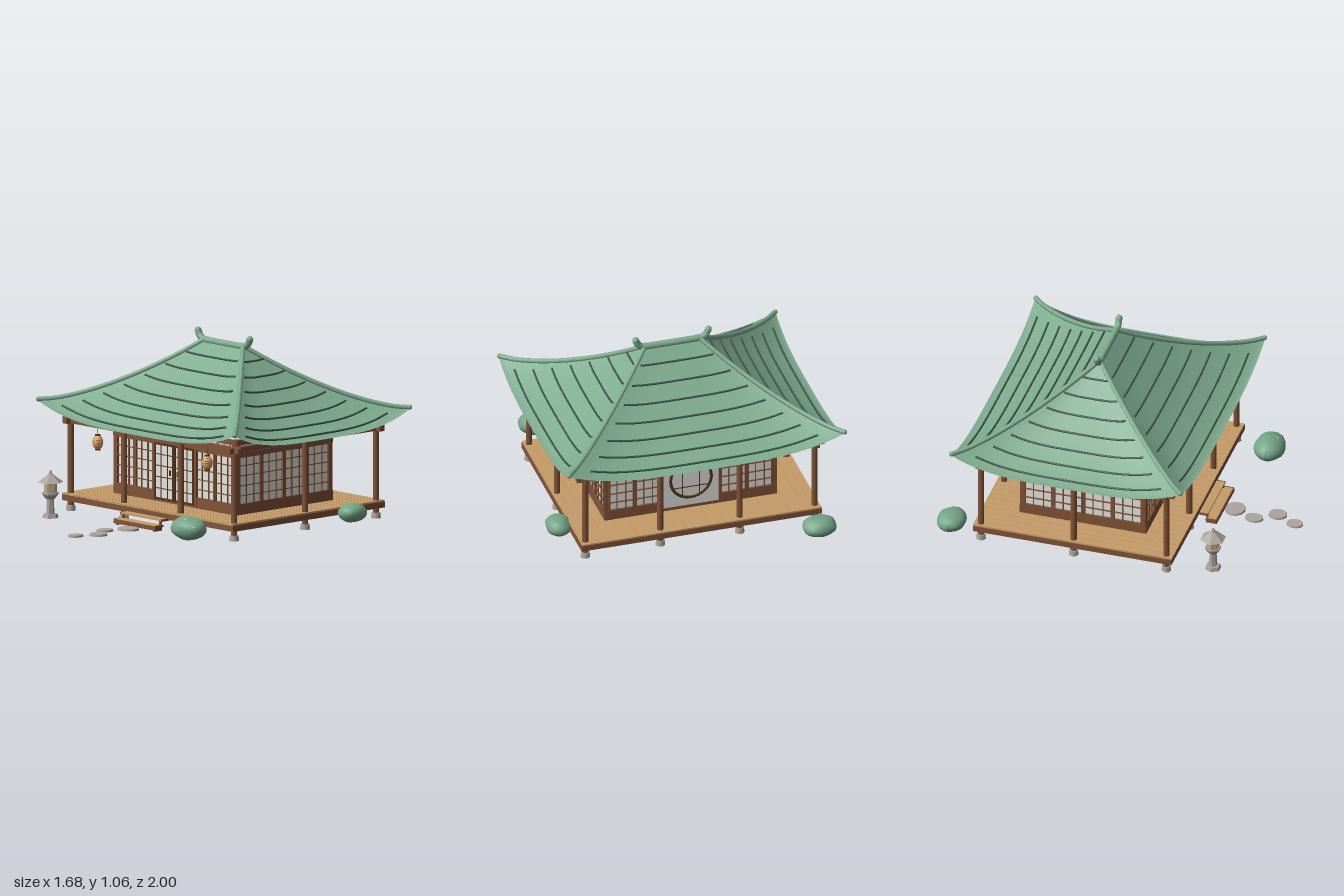
import * as THREE from 'three';
import { ParametricGeometry } from 'three/addons/geometries/ParametricGeometry.js';

const mat = (name, color, extra = {}) => Object.assign(new THREE.MeshStandardMaterial({ color, ...extra }), { name });
const M = {
  roof: mat('roof green', 0x7fac90, { side: THREE.DoubleSide }),
  rib: mat('dark green', 0x3d5849),
  wood: mat('brown wood', 0x815338),
  dark: mat('dark wood', 0x54351f),
  under: mat('underfloor brown', 0x694329),
  deck: mat('deck tan', 0xc69c68),
  paper: mat('white paper', 0xe3e4df),
  stone: mat('grey stone', 0xaca59d),
  bush: mat('bush green', 0x74a588),
  glow: mat('lantern amber', 0xdfa868),
};
const UNIT = new THREE.BoxGeometry(1, 1, 1);
const CZ = -0.18; // middle of the house

function add(parent, name, geo, m, x = 0, y = 0, z = 0) {
  const mesh = new THREE.Mesh(geo, m);
  mesh.name = name;
  mesh.position.set(x, y, z);
  parent.add(mesh);
  return mesh;
}
function box(parent, name, m, w, h, d, x, y, z) {
  const b = add(parent, name, UNIT, m, x, y, z);
  b.scale.set(w, h, d);
  return b;
}
function group(parent, name, x = 0, y = 0, z = 0, ry = 0) {
  const g = new THREE.Group();
  g.name = name;
  g.position.set(x, y, z);
  g.rotation.y = ry;
  parent.add(g);
  return g;
}
const cyl = (rt, rb, h, n = 12) => new THREE.CylinderGeometry(rt, rb, h, n);
const tube = (pts, r, n = 24) => new THREE.TubeGeometry(new THREE.CatmullRomCurve3(pts), n, r, 8);

// Sagging roof height: t runs ridge to eave, s runs hip to hip
const roofY = (t, s) => 0.54 + 0.455 * Math.pow(1 - t, 1.38) + 0.1 * Math.pow(t, 1.25) * Math.abs(s) ** 3.5;

function roofSide(parent, name, half, grow, off, run, ry) {
  const g = group(parent, name, 0, 0, 0, ry);
  const at = (t, s, lift = 0) => new THREE.Vector3(s * (half + grow * t), roofY(t, s) + lift, off + run * t);
  add(g, 'roofSlope', new ParametricGeometry((u, v, p) => p.copy(at(v, 1 - 2 * u)), 28, 24), M.roof);
  for (let k = 1; k <= 7; k++) {
    const pts = [];
    for (let i = 0; i <= 12; i++) pts.push(at(k * 0.131, 0.88 * (i / 6 - 1), 0.007));
    add(g, 'roofRib', tube(pts, 0.006), M.rib);
  }
}

function buildRoof(root) {
  const g = group(root, 'roof', 0, 0, CZ);
  for (const k of [0, 1]) {
    roofSide(g, 'longRoofSide', 0.16, 0.67, 0, 0.69, k * Math.PI);
    roofSide(g, 'shortRoofSide', 0, 0.69, 0.16, 0.67, Math.PI / 2 + k * Math.PI);
  }
  for (const sx of [-1, 1]) {
    for (const sz of [-1, 1]) {
      const pts = [];
      for (let i = 0; i <= 10; i++) {
        const t = i / 10;
        pts.push(new THREE.Vector3(sx * (0.16 + 0.67 * t), roofY(t, 1) + 0.004, sz * 0.69 * t));
      }
      add(g, 'hipRidge', tube(pts, 0.014), M.roof);
      add(g, 'hipEnd', new THREE.SphereGeometry(0.015, 10, 8), M.roof, sx * 0.825, 0.645, sz * 0.685);
    }
    const horn = [[0.14, 0.995], [0.18, 0.998], [0.206, 1.018], [0.218, 1.043]].map(([x, y]) => new THREE.Vector3(sx * x, y, 0));
    add(g, 'ridgeHorn', tube(horn, 0.02, 12), M.roof);
    add(g, 'hornTip', new THREE.SphereGeometry(0.02, 10, 8), M.roof, sx * 0.218, 1.043, 0);
  }
  add(g, 'ridge', cyl(0.02, 0.02, 0.33), M.roof, 0, 0.993, 0).rotation.z = Math.PI / 2;
}

// Framed sliding screen with thin lattice bars
function screen(parent, name, m, x, y0, y1, w, cols, rows, z = 0.006, f = 0.011) {
  const g = group(parent, name, x, 0, z);
  const h = y1 - y0, ym = (y0 + y1) / 2;
  for (const s of [-1, 1]) {
    box(g, 'stile', m, f, h, 0.012, s * (w - f) / 2, ym, 0);
    box(g, 'rail', m, w, f, 0.012, 0, ym + s * (h - f) / 2, 0);
  }
  for (let i = 1; i < cols; i++) box(g, 'latticeBar', m, 0.005, h, 0.008, (i / cols - 0.5) * w, ym, 0);
  for (let i = 1; i < rows; i++) box(g, 'latticeBar', m, w, 0.005, 0.008, 0, y0 + (i / rows) * h, 0);
}

// Timber frame shared by every wall, facing +z
function wall(root, name, w, x, z, ry) {
  const g = group(root, name, x, 0, z, ry);
  box(g, 'sill', M.wood, w, 0.058, 0.018, 0, 0.131, 0.002);
  box(g, 'lintel', M.wood, w, 0.024, 0.022, 0, 0.452, 0.002);
  box(g, 'topPlate', M.wood, w, 0.03, 0.022, 0, 0.525, 0.002);
  for (const s of [-1, 1]) box(g, 'cornerPost', M.wood, 0.032, 0.44, 0.032, s * (w / 2 - 0.014), 0.32, -0.008);
  screen(g, 'transom', M.wood, 0, 0.462, 0.513, w, Math.round(w / 0.054), 1, 0.002, 0.005);
  return g;
}

function buildHouse(root) {
  const g = group(root, 'house');
  box(g, 'paperWalls', M.paper, 1.01, 0.44, 0.735, 0, 0.32, -0.1725);
  const front = wall(g, 'frontWall', 1.03, 0, 0.196, 0);
  const back = wall(g, 'backWall', 1.03, 0, -0.541, Math.PI);
  for (const w of [front, back]) for (const s of [-1, 1]) {
    for (const x of [0.255, 0.415]) screen(w, 'wallScreen', M.wood, s * x, 0.155, 0.445, 0.159, 3, 5);
    box(w, 'jamb', M.wood, 0.02, 0.34, 0.022, s * 0.176, 0.275, 0.004);
  }
  // Double door
  box(front, 'doorPaper', M.paper, 0.33, 0.325, 0.012, 0, 0.28, 0.007);
  for (const s of [-1, 1]) {
    screen(front, 'door', M.dark, s * 0.083, 0.115, 0.445, 0.164, 3, 5, 0.012, 0.012);
    box(front, 'doorHandle', M.dark, 0.007, 0.03, 0.01, s * 0.032, 0.28, 0.018);
  }
  // Round window
  box(back, 'windowPaper', M.paper, 0.33, 0.32, 0.012, 0, 0.283, 0.007);
  add(back, 'roundWindowFrame', new THREE.TorusGeometry(0.122, 0.009, 8, 36), M.dark, 0, 0.295, 0.013).scale.z = 0.6;
  for (const d of [-0.05, 0.05]) {
    const c = 2 * Math.sqrt(0.122 ** 2 - d * d);
    box(back, 'windowBar', M.dark, 0.005, c, 0.005, d, 0.295, 0.014);
    box(back, 'windowBar', M.dark, c, 0.005, 0.005, 0, 0.295 + d, 0.014);
  }
  for (const s of [-1, 1]) {
    const side = wall(g, 'sideWall', 0.75, s * 0.506, -0.1725, s * Math.PI / 2);
    for (let i = 0; i < 4; i++) screen(side, 'wallScreen', M.wood, (i - 1.5) * 0.178, 0.155, 0.445, 0.177, 3, 5);
  }
}

function buildPorch(root) {
  const g = group(root, 'porch', 0, 0, -0.175);
  box(g, 'underfloor', M.under, 1.42, 0.012, 1.17, 0, 0.088, 0);
  for (let i = 0; i < 30; i++) box(g, 'plank', M.deck, 0.0458, 0.01, 1.19, (i - 14.5) * 0.0478, 0.098, 0);
  for (const s of [-1, 1]) {
    box(g, 'edgeBeam', M.wood, 1.44, 0.034, 0.03, 0, 0.077, s * 0.58);
    box(g, 'edgeBeam', M.wood, 0.03, 0.034, 1.19, s * 0.705, 0.077, 0);
    box(g, 'joist', M.wood, 0.026, 0.026, 1.17, s * 0.238, 0.072, 0);
    box(g, 'eaveBeam', M.wood, 1.48, 0.032, 0.034, 0, 0.526, s * 0.555);
    box(g, 'eaveBeam', M.wood, 0.034, 0.032, 1.21, s * 0.687, 0.526, 0);
    box(g, 'sideTie', M.wood, 0.19, 0.028, 0.024, s * 0.595, 0.525, 0);
    for (const t of [-1, 1]) box(g, 'tieBeam', M.wood, 0.024, 0.028, 0.19, s * 0.238, 0.525, t * 0.465);
    const spots = [[0.687, -0.555], [0.687, 0], [0.687, 0.555], [0.238, -0.555], [0.238, 0.555]];
    for (const [x, z] of spots) {
      add(g, 'post', cyl(0.018, 0.018, 0.49), M.wood, s * x, 0.273, z);
      add(g, 'footing', cyl(0.025, 0.029, 0.032, 8), M.stone, s * x, 0.016, z);
    }
    // Hanging paper lantern
    const l = group(g, 'hangingLantern', s * 0.46, 0.425, 0.555);
    add(l, 'lanternBody', new THREE.SphereGeometry(1, 16, 12), M.glow).scale.set(0.031, 0.043, 0.031);
    for (let i = -2; i <= 2; i++) {
      const r = 0.031 * Math.sqrt(1 - (i * 0.014 / 0.043) ** 2);
      add(l, 'lanternHoop', new THREE.TorusGeometry(r, 0.001, 5, 20), M.wood, 0, i * 0.014, 0).rotation.x = Math.PI / 2;
    }
    for (const t of [-1, 1]) add(l, 'lanternCap', cyl(0.016, 0.016, 0.008), M.dark, 0, t * 0.042, 0);
    add(l, 'cord', cyl(0.002, 0.002, 0.05, 6), M.dark, 0, 0.068, 0);
  }
}

function buildSteps(root) {
  const g = group(root, 'steps');
  for (const [y, z] of [[0.062, 0.44], [0.03, 0.488]]) {
    box(g, 'tread', M.deck, 0.335, 0.01, 0.06, 0, y, z);
    for (const s of [-1, 1]) box(g, 'treadEnd', M.wood, 0.007, 0.013, 0.062, s * 0.171, y - 0.001, z);
  }
  box(g, 'stepFront', M.wood, 0.348, 0.024, 0.008, 0, 0.021, 0.52);
  for (const s of [-1, 1]) {
    box(g, 'stringer', M.wood, 0.012, 0.057, 0.012, s * 0.155, 0.0285, 0.462);
    box(g, 'stringer', M.wood, 0.012, 0.025, 0.05, s * 0.155, 0.0125, 0.49);
  }
}

function buildGarden(root) {
  const g = group(root, 'garden');
  const stones = [[0.01, 0.58, 0.066, 0.06], [-0.045, 0.71, 0.043, 0.055], [0.028, 0.83, 0.05, 0.055], [-0.033, 0.95, 0.04, 0.05]];
  for (const [x, z, rx, rz] of stones) add(g, 'steppingStone', cyl(0.96, 1, 0.012, 11), M.stone, x, 0.006, z).scale.set(rx, 1, rz);

  // Rounded bushes with a gentle lumpy surface
  const bushes = [[0.562, 0.085, 0.62, 0.117, 0.068, 0.09], [0.77, 0.072, -0.47, 0.073, 0.055, 0.09], [-0.66, 0.073, -0.915, 0.1, 0.057, 0.085]];
  bushes.forEach(([x, y, z, rx, ry, rz], k) => {
    const geo = new THREE.SphereGeometry(1, 22, 16), p = geo.attributes.position, v = new THREE.Vector3();
    for (let i = 0; i < p.count; i++) {
      v.fromBufferAttribute(p, i);
      v.multiplyScalar(1 + 0.04 * Math.sin(4 * v.x + k) * Math.cos(3 * v.y + 4 * v.z));
      p.setXYZ(i, v.x, v.y, v.z);
    }
    geo.computeVertexNormals();
    add(g, 'bush', geo, M.bush, x, y, z).scale.set(rx, ry, rz);
  });
  for (const [x, y, z] of [[0.575, 0.142, 0.66], [0.655, 0.105, 0.665], [0.52, 0.135, 0.66]])
    add(g, 'blossom', new THREE.SphereGeometry(0.006, 8, 6), M.paper, x, y, z);

  // Stone lantern with a lit window on each face
  const l = group(g, 'stoneLantern', -0.59, 0, 0.63, Math.PI / 6);
  const tiers = [[0.042, 0.048, 0.022, 0.011], [0.021, 0.024, 0.09, 0.065], [0.048, 0.026, 0.028, 0.122], [0.048, 0.048, 0.012, 0.142],
    [0.038, 0.038, 0.06, 0.177], [0.014, 0.076, 0.045, 0.229], [0.006, 0.014, 0.024, 0.262]];
  for (const [rt, rb, h, y] of tiers) add(l, 'lanternTier', cyl(rt, rb, h, 6).toNonIndexed(), M.stone, 0, y, 0).geometry.computeVertexNormals();
  for (let i = 0; i < 6; i++) {
    const a = (i + 0.5) * Math.PI / 3;
    box(l, 'lanternWindow', M.glow, 0.02, 0.036, 0.004, 0.0325 * Math.sin(a), 0.175, 0.0325 * Math.cos(a)).rotation.y = a;
  }
}

export function createModel() {
  const root = new THREE.Group();
  root.name = 'teaHouse';
  buildRoof(root);
  buildHouse(root);
  buildPorch(root);
  buildSteps(root);
  buildGarden(root);
  return root;
}
